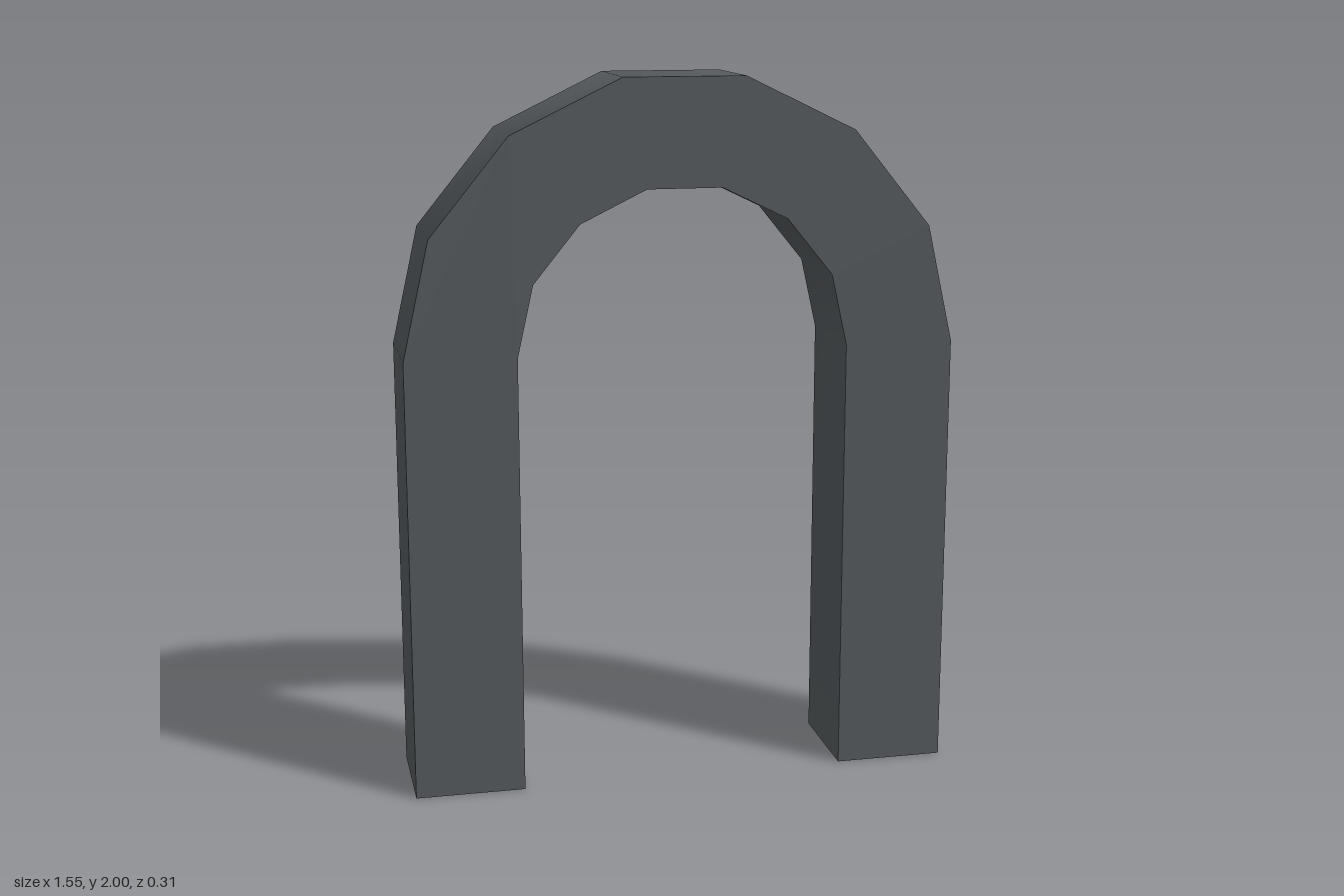
import * as THREE from 'three';
import { toCreasedNormals } from 'three/addons/utils/BufferGeometryUtils.js';

// Half outlines of the arch, from the foot up to the crown
const OUTER = [[0.775, 0], [0.775, 1.25], [0.7, 1.58], [0.48, 1.85], [0.17, 2]];
const INNER = [[0.465, 0], [0.465, 1.25], [0.42, 1.45], [0.29, 1.61], [0.105, 1.7]];
const DEPTH = 0.31;

// Full outline from right foot to left foot, by mirroring a half
function mirrored(half) {
  const left = half.map(([x, y]) => new THREE.Vector2(x, y));
  const right = half.map(([x, y]) => new THREE.Vector2(-x, y)).reverse();
  return [...left, ...right];
}

export function createModel() {
  const model = new THREE.Group();
  model.name = 'archway';

  const darkGrey = new THREE.MeshStandardMaterial({ color: 0x54595c });
  darkGrey.name = 'darkGrey';

  // Two straight legs joined by a faceted round top
  const shape = new THREE.Shape([...mirrored(OUTER), ...mirrored(INNER).reverse()]);
  const extruded = new THREE.ExtrudeGeometry(shape, { depth: DEPTH, bevelEnabled: false });
  extruded.translate(0, 0, -DEPTH / 2);

  // Smooth shading around the curve, sharp front and back edges
  const arch = new THREE.Mesh(toCreasedNormals(extruded, Math.PI / 5), darkGrey);
  arch.name = 'arch';
  model.add(arch);

  return model;
}
